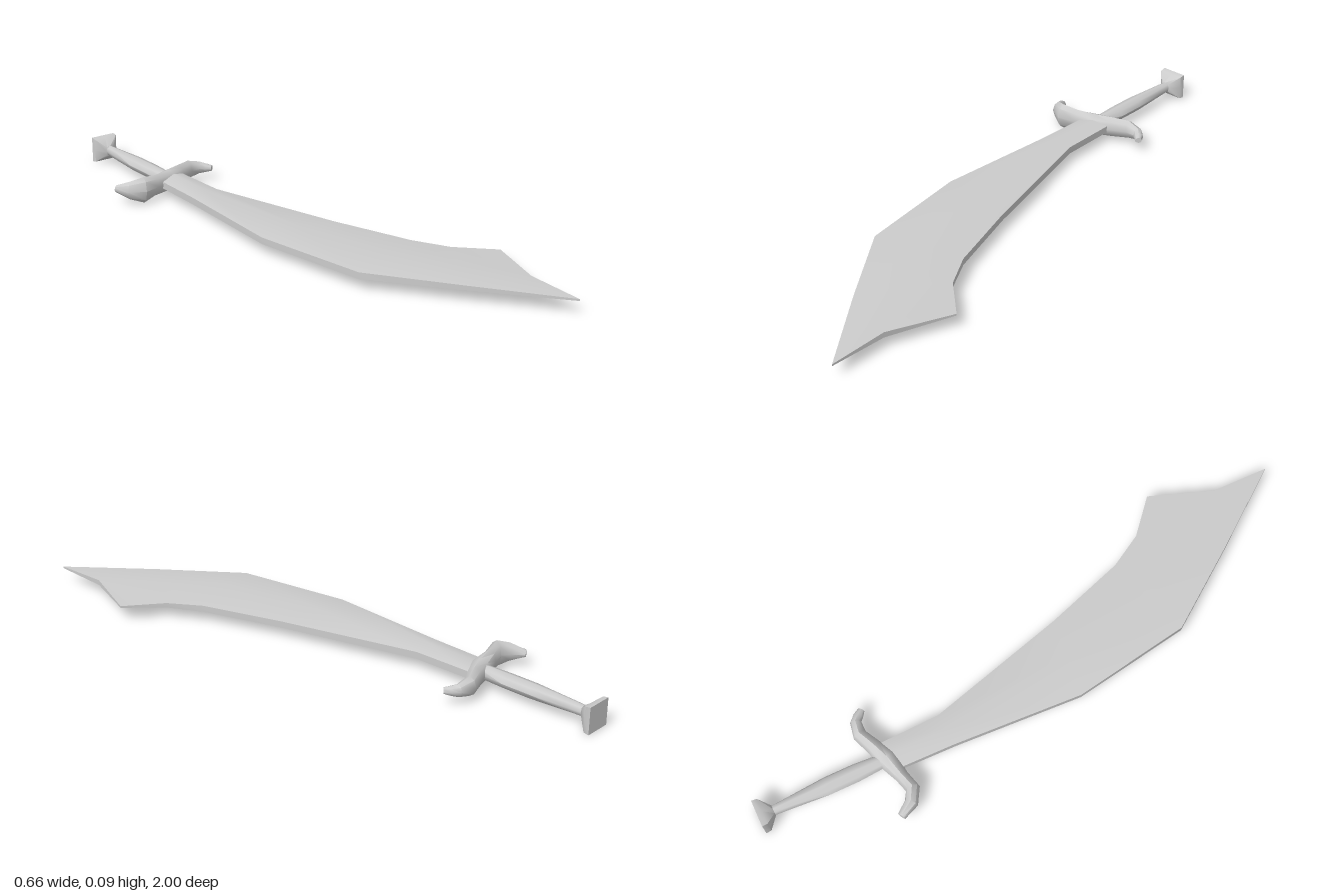
import * as THREE from 'three';
import { toCreasedNormals } from 'three/addons/utils/BufferGeometryUtils.js';

const MID_Y = 0.05;
const material = new THREE.MeshStandardMaterial({ color: 0xcccccc, roughness: 0.7 });

// Skin a list of equal-sized rings (counter-clockwise seen from the far end) and cap both ends.
function loft(name, rings) {
  const n = rings[0].length, last = (rings.length - 1) * n, index = [];
  for (let i = 0; i < last; i += n) {
    for (let j = 0; j < n; j++) {
      const a = i + j, b = i + (j + 1) % n;
      index.push(a, b, b + n, a, b + n, a + n);
    }
  }
  for (let k = 1; k < n - 1; k++) {
    const p = (2 + k) % n, q = (3 + k) % n;
    index.push(2, q, p, last + 2, last + p, last + q);
  }
  const geometry = new THREE.BufferGeometry();
  geometry.setAttribute('position', new THREE.Float32BufferAttribute(rings.flat(2), 3));
  geometry.setIndex(index);
  const mesh = new THREE.Mesh(toCreasedNormals(geometry, 0.9), material);
  mesh.name = name;
  return mesh;
}

// Eight-sided rings along a path in the xz plane.
// Each station: [x, z, half width, half height, squareness 0..1]
function bar(name, stations) {
  return loft(name, stations.map(([x, z, w, h, square = 0], i) => {
    const a = stations[Math.max(i - 1, 0)], b = stations[Math.min(i + 1, stations.length - 1)];
    const length = Math.hypot(b[0] - a[0], b[1] - a[1]);
    const ux = (b[1] - a[1]) / length, uz = -(b[0] - a[0]) / length;
    return Array.from({ length: 8 }, (_, j) => {
      const c = Math.cos(j * Math.PI / 4), s = Math.sin(j * Math.PI / 4);
      const k = 1 + square * (1 / Math.max(Math.abs(c), Math.abs(s)) - 1);
      return [x + ux * w * c * k, MID_Y + h * s * k, z + uz * w * c * k];
    });
  }));
}

export function createModel() {
  const group = new THREE.Group();
  group.name = 'curvedSword';

  // Blade sections: left x, z, right x, z, half thickness at ridge and edge, optional ridge x, z
  const sections = [
    [-0.175, -0.56, -0.075, -0.56, 0.026, 0.012],
    [-0.18, -0.35, -0.07, -0.36, 0.026, 0.012],
    [-0.205, 0.08, 0.06, 0.11, 0.026, 0.011],
    [-0.14, 0.475, 0.15, 0.38, 0.028, 0.011],
    [0.05, 0.735, 0.215, 0.49, 0.018, 0.008],
    [0.25, 0.995, 0.33, 0.59, 0.009, 0.003, 0.25, 0.8],
  ];
  group.add(loft('blade', sections.map(([lx, lz, rx, rz, m, e, mx = (lx + rx) / 2, mz = (lz + rz) / 2]) => [
    [rx, MID_Y - e, rz], [rx, MID_Y + e, rz], [mx, MID_Y + m, mz],
    [lx, MID_Y + e, lz], [lx, MID_Y - e, lz], [mx, MID_Y - m, mz],
  ])));

  // Grip with a swelling middle
  group.add(bar('grip', [
    [-0.128, -0.96, 0.016, 0.018],
    [-0.128, -0.9, 0.02, 0.02],
    [-0.128, -0.77, 0.03, 0.024],
    [-0.128, -0.67, 0.03, 0.024],
    [-0.128, -0.56, 0.022, 0.024],
  ]));

  // Square flared pommel
  group.add(bar('pommel', [
    [-0.128, -1, 0.045, 0.045, 1],
    [-0.128, -0.982, 0.044, 0.042, 1],
    [-0.128, -0.95, 0.017, 0.018, 0.3],
  ]));

  // S-shaped cross guard
  group.add(bar('crossGuard', [
    [-0.318, -0.598, 0.014, 0.012],
    [-0.292, -0.553, 0.022, 0.032],
    [-0.252, -0.53, 0.023, 0.046],
    [-0.2, -0.545, 0.022, 0.037],
    [-0.13, -0.563, 0.034, 0.037],
    [-0.075, -0.585, 0.026, 0.037],
    [-0.02, -0.61, 0.023, 0.033],
    [0.025, -0.605, 0.018, 0.022],
    [0.042, -0.588, 0.016, 0.016],
    [0.056, -0.572, 0.011, 0.01],
  ]));

  return group;
}
